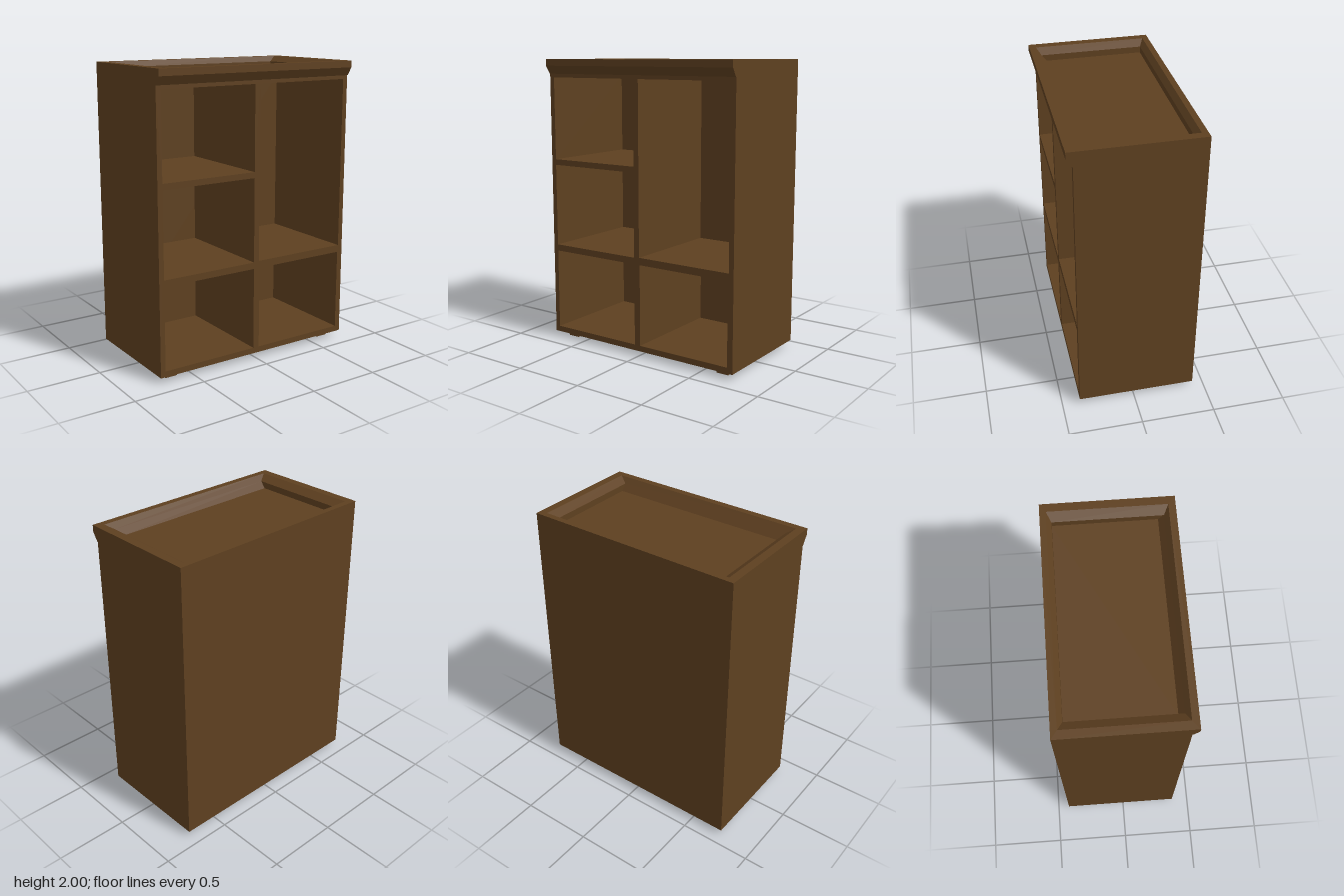
import * as THREE from 'three';

const wood = new THREE.MeshStandardMaterial({ color: 0x5e4020, flatShading: true });

function addMesh(parent, name, geometry, x = 0, y = 0, z = 0) {
  const mesh = new THREE.Mesh(geometry, wood);
  mesh.name = name;
  mesh.position.set(x, y, z);
  parent.add(mesh);
  return mesh;
}

// Traces a rectangle into a Shape or Path
function rectangle(path, x0, x1, y0, y1) {
  path.moveTo(x0, y0);
  path.lineTo(x1, y0);
  path.lineTo(x1, y1);
  path.lineTo(x0, y1);
  path.closePath();
  return path;
}

// Skins a stack of rectangular rings [halfWidth, y, zBack, zFront] and closes the last one
function ringStack(rings) {
  const loops = rings.map(([w, y, zb, zf]) => [[-w, y, zf], [w, y, zf], [w, y, zb], [-w, y, zb]]);
  const positions = [];
  const quad = (a, b, c, d) => positions.push(...a, ...b, ...c, ...a, ...c, ...d);
  for (let i = 0; i < loops.length - 1; i++) {
    for (let j = 0; j < 4; j++) {
      const k = (j + 1) % 4;
      quad(loops[i][j], loops[i][k], loops[i + 1][k], loops[i + 1][j]);
    }
  }
  quad(...loops[loops.length - 1]);
  const geometry = new THREE.BufferGeometry();
  geometry.setAttribute('position', new THREE.Float32BufferAttribute(positions, 3));
  geometry.computeVertexNormals();
  return geometry;
}

export function createModel() {
  const cabinet = new THREE.Group();
  cabinet.name = 'cabinet';

  // Carcass: sides, divider and shelves, pierced by the five compartments
  const front = rectangle(new THREE.Shape(), -0.75, 0.75, 0.04, 1.9);
  const compartments = [
    [-0.715, -0.025, 1.305, 1.875],
    [-0.715, -0.025, 0.69, 1.265],
    [-0.715, -0.025, 0.08, 0.645],
    [0.015, 0.715, 0.695, 1.875],
    [0.02, 0.71, 0.08, 0.645],
  ];
  for (const c of compartments) front.holes.push(rectangle(new THREE.Path(), ...c));
  const carcass = new THREE.ExtrudeGeometry(front, { depth: 0.75, bevelEnabled: false });
  addMesh(cabinet, 'carcass', carcass, 0, 0, -0.37);

  addMesh(cabinet, 'backPanel', new THREE.BoxGeometry(1.5, 1.86, 0.05), 0, 0.97, -0.395);

  // Top with an overhanging front cornice and a sunken, bevelled tray
  addMesh(cabinet, 'traySurround', ringStack([
    [0.75, 1.9, -0.42, 0.385],
    [0.75, 1.955, -0.42, 0.42],
    [0.75, 2, -0.42, 0.42],
    [0.695, 2, -0.38, 0.375],
    [0.64, 1.963, -0.35, 0.345],
    [0.64, 1.92, -0.35, 0.31],
  ]));

  // Four short square feet
  for (const x of [-0.637, 0.637]) {
    for (const z of [-0.303, 0.272]) {
      addMesh(cabinet, 'foot', new THREE.BoxGeometry(0.086, 0.04, 0.086), x, 0.02, z);
    }
  }

  return cabinet;
}
